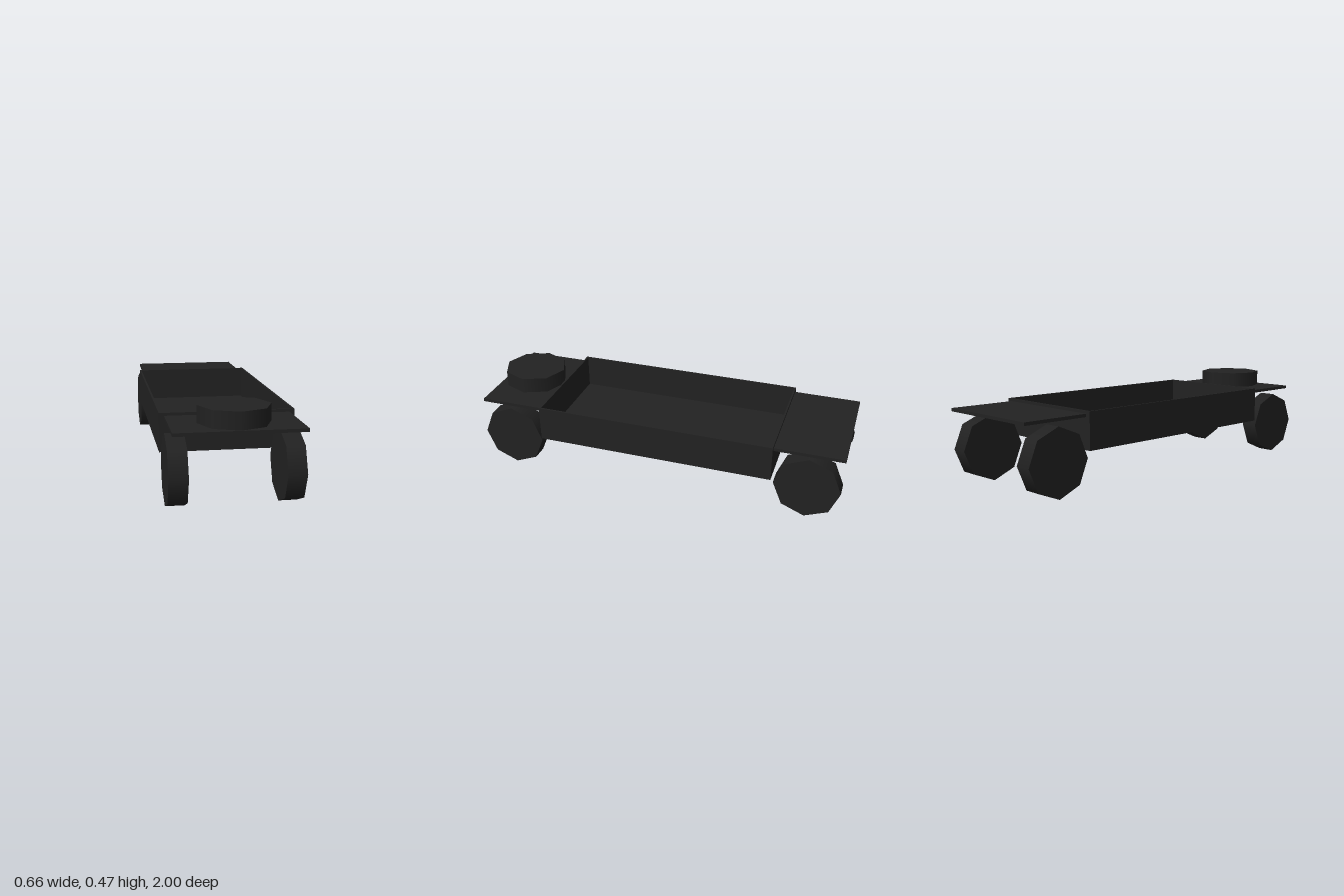
import * as THREE from 'three';

export function createModel() {
  const group = new THREE.Group();
  const charcoal = new THREE.MeshStandardMaterial({ color: 0x222222 });
  charcoal.name = 'charcoal';

  function add(name, geometry, x, y, z) {
    const mesh = new THREE.Mesh(geometry, charcoal);
    mesh.name = name;
    mesh.position.set(x, y, z);
    group.add(mesh);
    return mesh;
  }
  const box = (name, w, h, d, x, y, z) => add(name, new THREE.BoxGeometry(w, h, d), x, y, z);

  // Open tray: floor and four thin walls
  const halfW = 0.33, halfL = 0.64, bottom = 0.207, top = 0.398, wall = 0.01;
  const wallH = top - bottom, midY = (top + bottom) / 2;
  box('trayFloor', 2 * (halfW - wall), wall, 2 * (halfL - wall), 0, bottom + wall / 2, 0);
  for (const s of [-1, 1]) {
    box(s > 0 ? 'traySideLeft' : 'traySideRight', wall, wallH, 2 * halfL, s * (halfW - wall / 2), midY, 0);
    box(s > 0 ? 'trayEndFront' : 'trayEndBack', 2 * (halfW - wall), wallH, wall, 0, midY, s * (halfL - wall / 2));
  }

  // Overhanging end plates
  box('frontPlate', 0.61, 0.016, 0.35, 0, 0.376, 0.815);
  box('backPlate', 0.61, 0.016, 0.36, 0, 0.376, -0.82);

  // Eight-sided disc on the front plate
  add('topDisc', new THREE.CylinderGeometry(0.173, 0.173, 0.086, 8), 0, 0.425, 0.812);

  // Eight-sided wheels, set slightly towards the right
  const wheel = new THREE.CylinderGeometry(0.173, 0.173, 0.09, 8).rotateZ(Math.PI / 2);
  for (const [end, z] of [['front', 0.827], ['back', -0.822]]) {
    add(end + 'WheelLeft', wheel, 0.255, 0.174, z);
    add(end + 'WheelRight', wheel, -0.279, 0.174, z);
  }
  return group;
}
